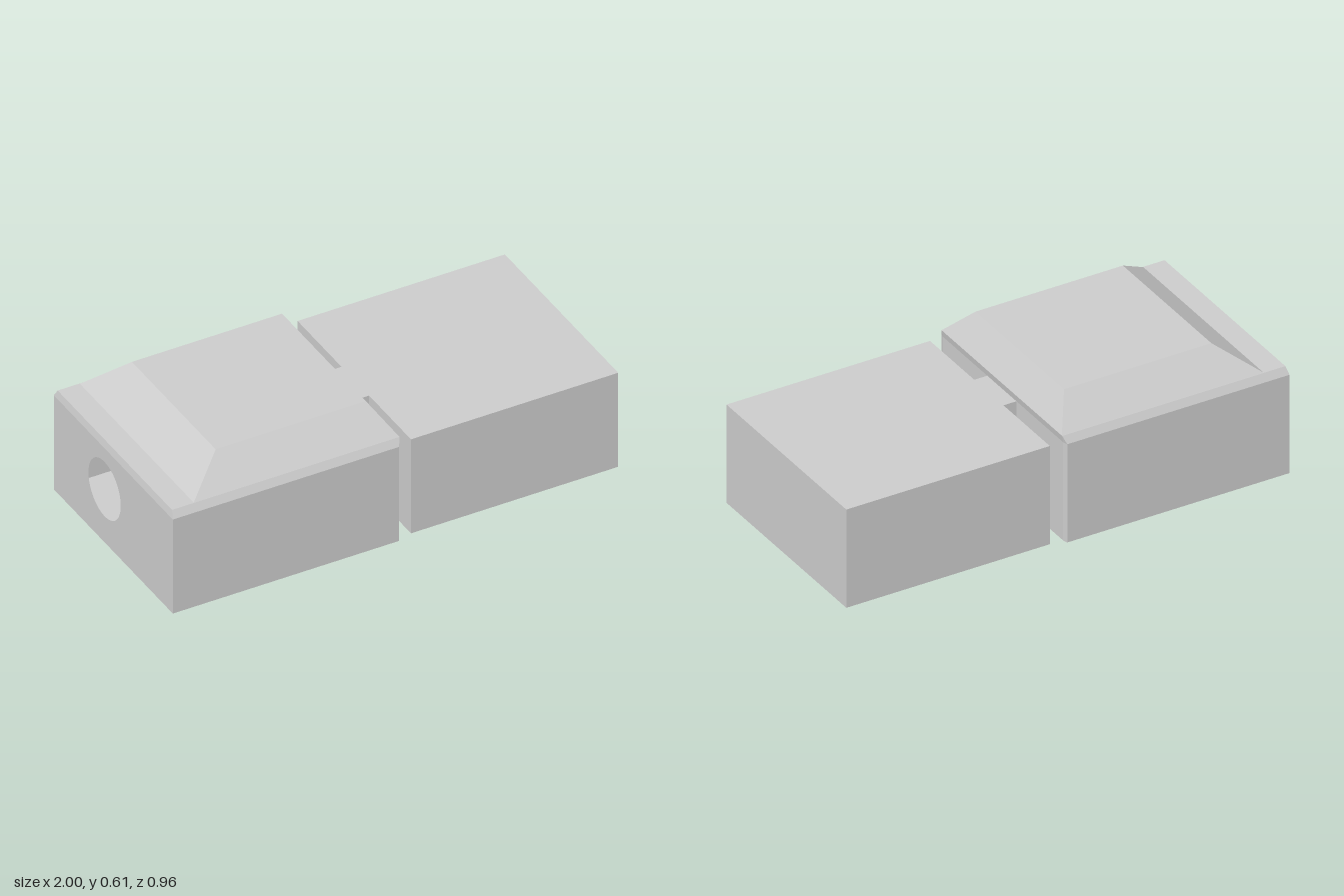
import * as THREE from 'three';

const material = new THREE.MeshStandardMaterial({ color: 0xcccccc, flatShading: true, side: THREE.DoubleSide });

function part(name, geometry) {
  const mesh = new THREE.Mesh(geometry, material);
  mesh.name = name;
  return mesh;
}

// Horizontal six-point outline: straight at -x, narrow corner cuts at +x
function ring(y, x0, x1, z, cutX = 0, cutZ = 0) {
  const half = [[x0, z], [x1 - cutX, z], [x1, z - cutZ]];
  const mirrored = half.map(([x, w]) => [x, -w]).reverse();
  return [...half, ...mirrored].map(([x, w]) => new THREE.Vector3(x, y, w));
}

function toGeometry(points) {
  const geometry = new THREE.BufferGeometry().setFromPoints(points);
  geometry.computeVertexNormals();
  return geometry;
}

// Skin between successive rings; the -x side can be left open
function loft(rings, closed = true) {
  const points = [];
  for (let r = 0; r < rings.length - 1; r++) {
    const a = rings[r], b = rings[r + 1];
    for (let i = 0; i < (closed ? 6 : 5); i++) {
      const j = (i + 1) % 6;
      points.push(a[i], a[j], b[j], a[i], b[j], b[i]);
    }
  }
  return toGeometry(points);
}

function cap(outline) {
  const points = [];
  for (let i = 1; i < 5; i++) points.push(outline[0], outline[i], outline[i + 1]);
  return toGeometry(points);
}

export function createModel() {
  const group = new THREE.Group();

  // Hollow housing: floor, walls, bevelled rim and sloped lid
  const floor = ring(0, -1, 0.016, 0.479, 0.006, 0.021);
  const wallTop = ring(0.45, -1, 0.016, 0.479, 0.006, 0.021);
  const rim = ring(0.482, -0.993, 0.022, 0.46);
  const lidBase = ring(0.482, -0.895, 0.022, 0.458);
  const lidTop = ring(0.605, -0.73, -0.06, 0.337);
  const housing = new THREE.Group();
  housing.name = 'housing';
  housing.add(
    part('housingFloor', cap([...floor].reverse())),
    part('housingWalls', loft([floor, wallTop], false)),
    part('housingRim', loft([wallTop, rim, lidBase])),
    part('lidSlopes', loft([lidBase, lidTop])),
    part('lidTop', cap(lidTop))
  );

  // End wall with its round opening
  const wall = new THREE.Shape();
  wall.moveTo(-0.479, 0).lineTo(0.479, 0).lineTo(0.479, 0.45).lineTo(-0.479, 0.45).closePath();
  const hole = new THREE.Path();
  hole.absarc(-0.07, 0.255, 0.13, 0, Math.PI * 2, true);
  wall.holes.push(hole);
  const endWall = part('endWall', new THREE.ShapeGeometry(wall, 24));
  endWall.rotation.y = -Math.PI / 2;
  endWall.position.x = -1;
  housing.add(endWall);
  group.add(housing);

  // Plain block with the narrow neck joining it to the housing
  const outline = new THREE.Shape([
    [0.016, -0.12], [0.075, -0.12], [0.075, -0.457], [1, -0.457],
    [1, 0.455], [0.075, 0.455], [0.075, 0.102], [0.016, 0.102]
  ].map(([x, y]) => new THREE.Vector2(x, y)));
  const block = new THREE.ExtrudeGeometry(outline, { depth: 0.45, bevelEnabled: false });
  block.rotateX(-Math.PI / 2);
  group.add(part('blockWithNeck', block));

  return group;
}
